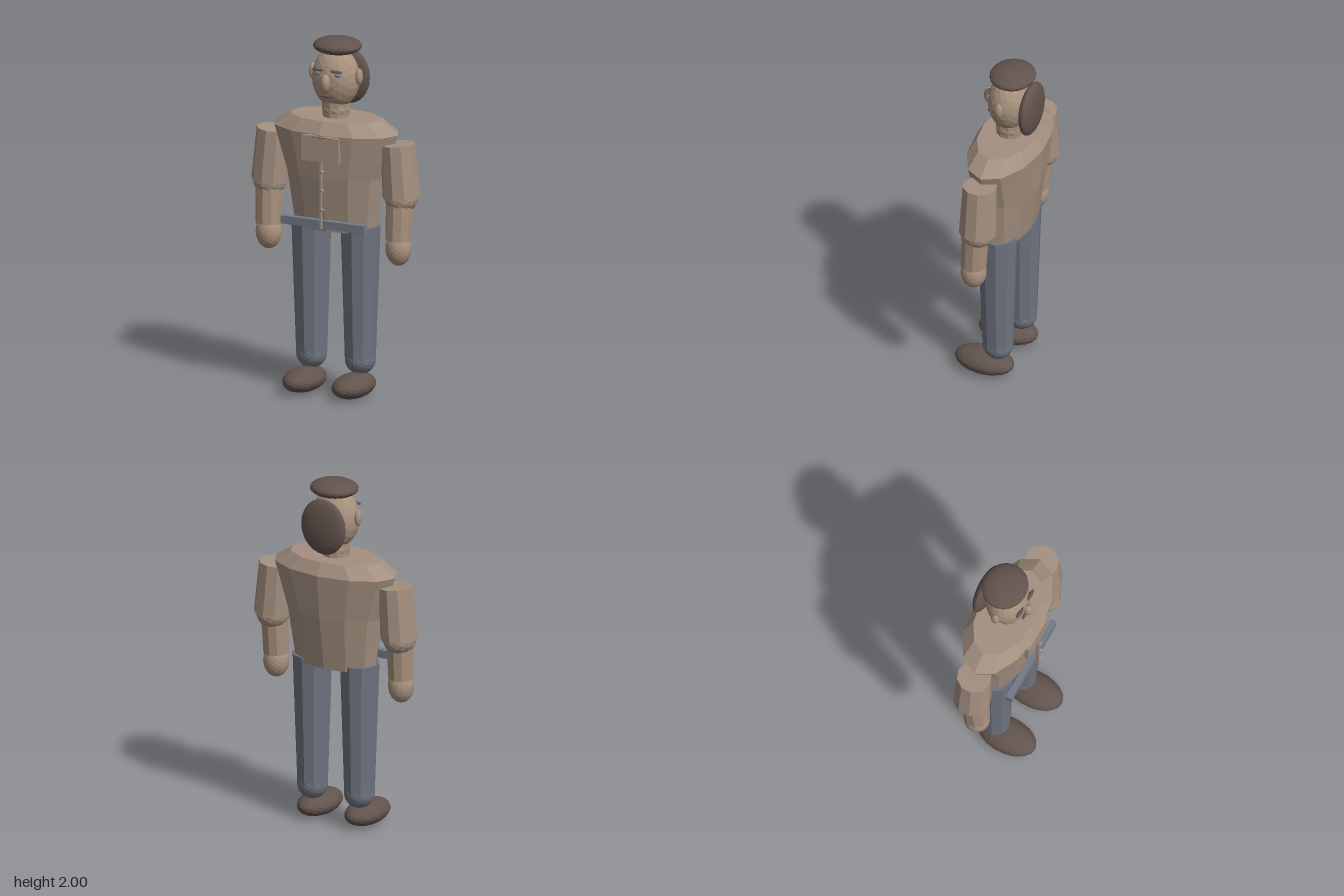
import * as THREE from 'three';

const mat = (name, color) => {
  const m = new THREE.MeshStandardMaterial({ color, flatShading: true });
  m.name = name;
  return m;
};

export function createModel() {
  const skin = mat('skin', 0xa8917d);
  const shirt = mat('shirt', 0xa49080);
  const denim = mat('denim', 0x6e737f);
  const beltBlue = mat('belt', 0x727986);
  const dark = mat('dark brown', 0x62534d);
  const eyeGrey = mat('eye grey', 0x7d8590);

  const root = new THREE.Group();
  root.name = 'standingMan';

  const add = (name, geo, material, pos = [0, 0, 0]) => {
    const mesh = new THREE.Mesh(geo, material);
    mesh.name = name;
    mesh.position.set(...pos);
    root.add(mesh);
    return mesh;
  };
  // faceted ellipsoid
  const blob = (name, material, pos, radii, detail = 3) =>
    add(name, new THREE.IcosahedronGeometry(1, detail).scale(...radii), material, pos);
  const box = (name, material, pos, size) =>
    add(name, new THREE.BoxGeometry(...size), material, pos);
  // tapered limb between two points
  const limb = (name, material, top, bottom, rTop, rBottom, sides = 10) => {
    const a = new THREE.Vector3(...top), b = new THREE.Vector3(...bottom);
    const axis = a.clone().sub(b);
    const mesh = add(name, new THREE.CylinderGeometry(rTop, rBottom, axis.length(), sides), material);
    mesh.position.copy(a).add(b).multiplyScalar(0.5);
    mesh.quaternion.setFromUnitVectors(new THREE.Vector3(0, 1, 0), axis.normalize());
    return mesh;
  };

  // torso: twelve-sided rings of [height, half width, half depth], top to bottom
  const rings = [[1.56, 0.275, 0.158], [1.49, 0.38, 0.197], [1.24, 0.295, 0.173], [0.93, 0.25, 0.125]];
  const torso = new THREE.CylinderGeometry(1, 1, 1, 12, rings.length - 1);
  const p = torso.attributes.position;
  for (let i = 0; i < p.count; i++) {
    const [y, w, d] = rings[Math.round((0.5 - p.getY(i)) * (rings.length - 1))];
    p.setXYZ(i, p.getX(i) * w, y, p.getZ(i) * d - 0.03);
  }
  torso.computeVertexNormals();
  add('torso', torso, shirt);

  // shirt details and belt
  box('pocket', shirt, [0, 1.41, 0.152], [0.23, 0.14, 0.024]);
  blob('pocketFlap', shirt, [0, 1.48, 0.155], [0.115, 0.01, 0.012], 2);
  box('placket', shirt, [0.004, 1.225, 0.156], [0.01, 0.53, 0.016]);
  for (const y of [1.285, 1.18, 1.07]) blob('button', shirt, [0.015, y, 0.165], [0.011, 0.011, 0.011], 1);
  box('belt', beltBlue, [0, 0.978, 0.117], [0.515, 0.045, 0.036]);

  // neck and head
  limb('neck', skin, [0, 1.66, -0.028], [0, 1.54, -0.028], 0.078, 0.074);
  blob('neckBase', skin, [0, 1.6, -0.028], [0.077, 0.06, 0.077], 2);
  blob('head', skin, [0, 1.775, -0.028], [0.136, 0.17, 0.118]);
  blob('cap', dark, [0, 1.952, -0.046], [0.137, 0.048, 0.126]);
  blob('backHair', dark, [0, 1.758, -0.16], [0.14, 0.16, 0.045]);
  blob('nose', skin, [0, 1.77, 0.098], [0.027, 0.05, 0.029], 2);
  blob('mouth', dark, [0, 1.692, 0.084], [0.042, 0.008, 0.009], 2);

  for (const s of [1, -1]) {
    // face pairs
    blob('ear', skin, [s * 0.143, 1.795, -0.028], [0.02, 0.047, 0.025], 2);
    blob('eye', eyeGrey, [s * 0.058, 1.815, 0.068], [0.022, 0.014, 0.013], 2);
    blob('eyebrow', dark, [s * 0.058, 1.836, 0.079], [0.037, 0.008, 0.012], 2);

    // arm
    limb('upperArm', shirt, [s * 0.382, 1.445, -0.028], [s * 0.405, 1.15, -0.028], 0.096, 0.106);
    blob('elbow', shirt, [s * 0.405, 1.145, -0.025], [0.092, 0.086, 0.098], 2);
    limb('forearm', skin, [s * 0.403, 1.13, -0.012], [s * 0.4, 0.91, 0], 0.077, 0.073);
    blob('hand', skin, [s * 0.4, 0.862, 0], [0.072, 0.096, 0.072]);

    // leg
    limb('leg', denim, [s * 0.152, 0.96, -0.028], [s * 0.15, 0.2, -0.028], 0.111, 0.086);
    blob('ankle', denim, [s * 0.15, 0.2, -0.028], [0.085, 0.083, 0.086]);
    blob('shoe', dark, [s * 0.152, 0.07, 0.052], [0.104, 0.068, 0.174]);
  }
  return root;
}
